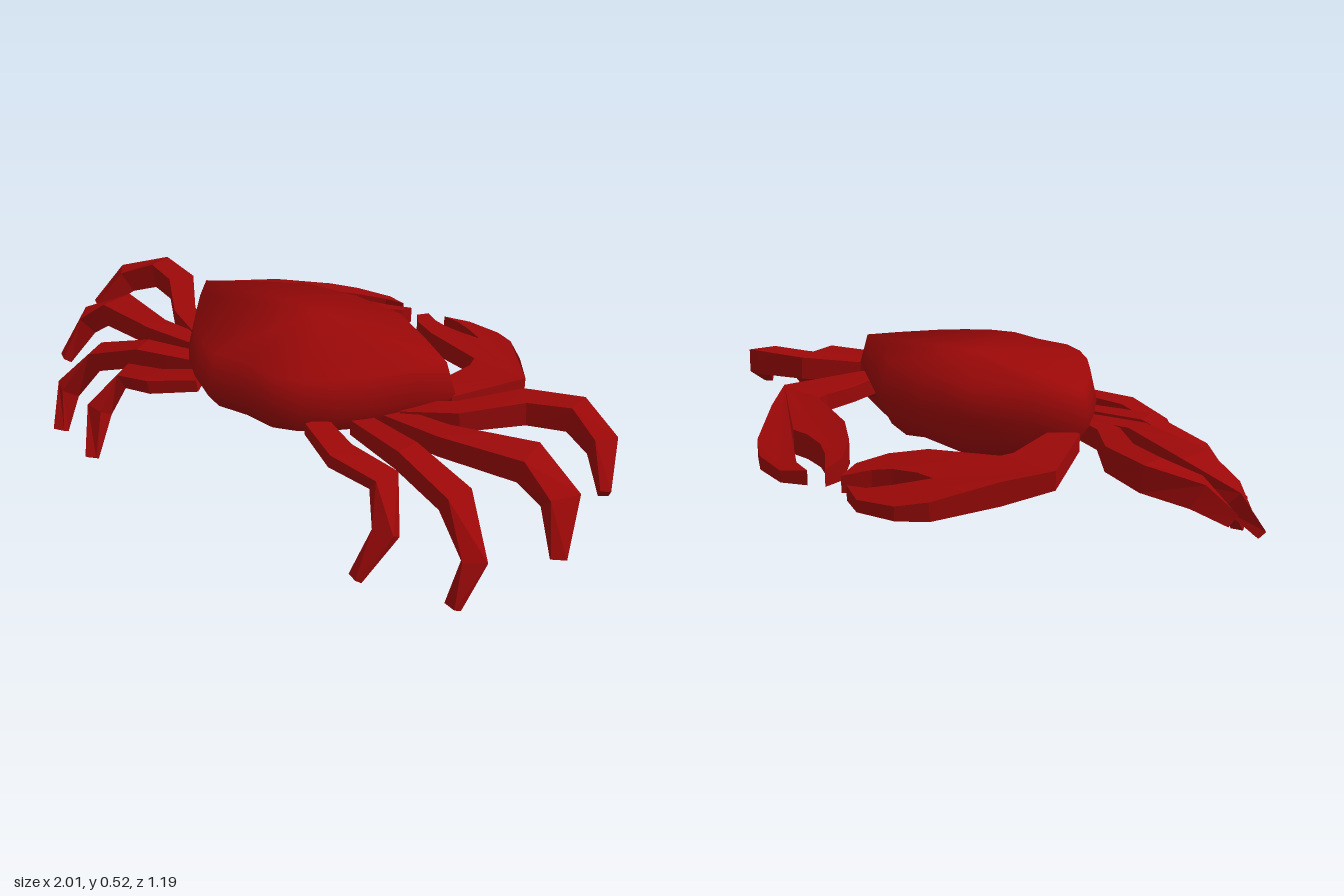
import * as THREE from 'three';
import { toCreasedNormals } from 'three/addons/utils/BufferGeometryUtils.js';

const red = new THREE.MeshStandardMaterial({ color: 0x9c0808 });

// Joins rings of points into a closed skin, with a fan of triangles at each end
function loft(rings, crease, startTip, endTip) {
  const n = rings[0].length;
  const mean = (ring) => ring.reduce((s, p) => s.add(p), new THREE.Vector3()).divideScalar(n);
  const points = rings.flat();
  points.push(startTip ?? mean(rings[0]), endTip ?? mean(rings.at(-1)));
  const first = points.length - 2, last = points.length - 1, top = (rings.length - 1) * n;
  const index = [];
  for (let j = 0; j < n; j++) {
    const k = (j + 1) % n;
    for (let i = 0; i < rings.length - 1; i++) {
      const a = i * n + j, b = i * n + k, c = b + n, d = a + n;
      index.push(a, d, c, a, c, b);
    }
    index.push(first, j, k, last, top + k, top + j);
  }
  const geometry = new THREE.BufferGeometry().setFromPoints(points);
  geometry.setIndex(index);
  return toCreasedNormals(geometry, crease);
}

function part(name, geometry) {
  const mesh = new THREE.Mesh(geometry, red);
  mesh.name = name;
  return mesh;
}

// Shell: the plan outline stacked at several heights, the belly rising towards the front (+z)
function shell() {
  const half = [[0.19, -0.153], [0.35, -0.053], [0.49, 0.045], [0.43, 0.15],
    [0.35, 0.27], [0.28, 0.35], [0.2, 0.415], [0.12, 0.447]];
  const outline = [[0, -0.175], ...half, [0, 0.435], ...half.map(([x, z]) => [-x, z]).reverse()];
  // height, width scale, length scale, belly slope
  const levels = [[0.222, 0.52, 0.55, 0.2], [0.24, 0.72, 0.78, 0.17], [0.285, 0.85, 0.92, 0.08],
    [0.385, 1, 1, 0], [0.487, 0.94, 0.9, 0]];
  const rings = levels.map(([y, sx, sz, slope]) => outline.map(([x, z]) => {
    const zs = 0.137 + (z - 0.137) * sz;
    const groove = y < 0.28 ? 0.028 * Math.max(0, 1 - Math.abs(x) / 0.2) : 0;
    return new THREE.Vector3(x * sx, y + groove + slope * Math.max(0, zs - 0.02), zs);
  }));
  return part('shell', loft(rings, Math.PI,
    new THREE.Vector3(0, 0.262, 0.14), new THREE.Vector3(0, 0.522, 0.065)));
}

// Leg: a four-sided limb along joints [x, y, z, half width, half height]
function leg(name, joints, side) {
  const path = joints.map(([x, y, z]) => new THREE.Vector3(x * side, y, z));
  const up = new THREE.Vector3(0, 1, 0);
  const corners = [[1, 1], [-1, 1], [-1, -1], [1, -1]];
  const rings = path.map((p, i) => {
    const before = path[Math.max(i - 1, 0)], after = path[Math.min(i + 1, path.length - 1)];
    const t = after.clone().sub(before).normalize();
    const across = t.clone().cross(up).normalize();
    const lift = across.clone().cross(t);
    const [, , , w, h] = joints[i];
    return corners.map(([a, b]) => p.clone().addScaledVector(across, a * w).addScaledVector(lift, b * h));
  });
  return part(name, loft(rings, 0.2));
}

// Claw: flat plan shape, then bent downward and thinned along its length
function claw(name, side) {
  const plan = [[0.38, 0.06], [0.47, 0.03], [0.58, -0.22], [0.49, -0.35], [0.37, -0.51],
    [0.29, -0.567], [0.165, -0.592], [0.085, -0.555], [0.15, -0.54], [0.22, -0.49],
    [0.3, -0.422], [0.235, -0.422], [0.155, -0.44], [0.1, -0.47], [0.035, -0.53], [0.03, -0.465],
    [0.085, -0.385], [0.18, -0.315], [0.39, -0.235], [0.4, -0.19], [0.385, -0.08]];
  const shape = new THREE.Shape(plan.map(([x, z]) => new THREE.Vector2(x * side, -z)));
  const geometry = new THREE.ExtrudeGeometry(shape, { depth: 1, bevelEnabled: false });
  geometry.rotateX(-Math.PI / 2);
  // z, middle height, half thickness
  const bend = [[0.1, 0.34, 0.028], [-0.14, 0.318, 0.026], [-0.27, 0.315, 0.032],
    [-0.42, 0.267, 0.041], [-0.6, 0.235, 0.018]];
  const pos = geometry.attributes.position;
  for (let i = 0; i < pos.count; i++) {
    const z = pos.getZ(i);
    let k = 0;
    while (k < bend.length - 2 && z < bend[k + 1][0]) k++;
    const f = (z - bend[k][0]) / (bend[k + 1][0] - bend[k][0]);
    const at = (c) => THREE.MathUtils.lerp(bend[k][c], bend[k + 1][c], f);
    pos.setY(i, at(1) + (pos.getY(i) * 2 - 1) * at(2));
  }
  return part(name, toCreasedNormals(geometry, 0.2));
}

const legs = {
  FirstLeg: [[0.38, 0.33, 0.16, 0.03, 0.03], [0.53, 0.345, 0.09, 0.035, 0.032],
    [0.67, 0.36, -0.05, 0.042, 0.038], [0.81, 0.36, -0.1, 0.04, 0.042],
    [0.925, 0.325, -0.045, 0.035, 0.04], [0.985, 0.235, 0.045, 0.015, 0.022]],
  SecondLeg: [[0.33, 0.32, 0.19, 0.03, 0.03], [0.55, 0.33, 0.205, 0.037, 0.033],
    [0.79, 0.315, 0.14, 0.057, 0.038], [0.91, 0.25, 0.165, 0.047, 0.035],
    [0.96, 0.12, 0.25, 0.022, 0.015]],
  ThirdLeg: [[0.3, 0.325, 0.27, 0.03, 0.025], [0.5, 0.32, 0.32, 0.037, 0.032],
    [0.68, 0.26, 0.345, 0.043, 0.033], [0.785, 0.13, 0.405, 0.035, 0.03],
    [0.765, 0.01, 0.475, 0.02, 0.015]],
  FourthLeg: [[0.22, 0.34, 0.37, 0.035, 0.02], [0.35, 0.32, 0.43, 0.042, 0.022],
    [0.49, 0.285, 0.415, 0.04, 0.025], [0.55, 0.175, 0.49, 0.033, 0.025],
    [0.51, 0.055, 0.578, 0.018, 0.013]],
};

export function createModel() {
  const model = new THREE.Group();
  model.name = 'crab';
  model.add(shell());
  for (const [label, side] of [['left', 1], ['right', -1]]) {
    model.add(claw(label + 'Claw', side));
    for (const [name, joints] of Object.entries(legs)) model.add(leg(label + name, joints, side));
  }
  return model;
}
